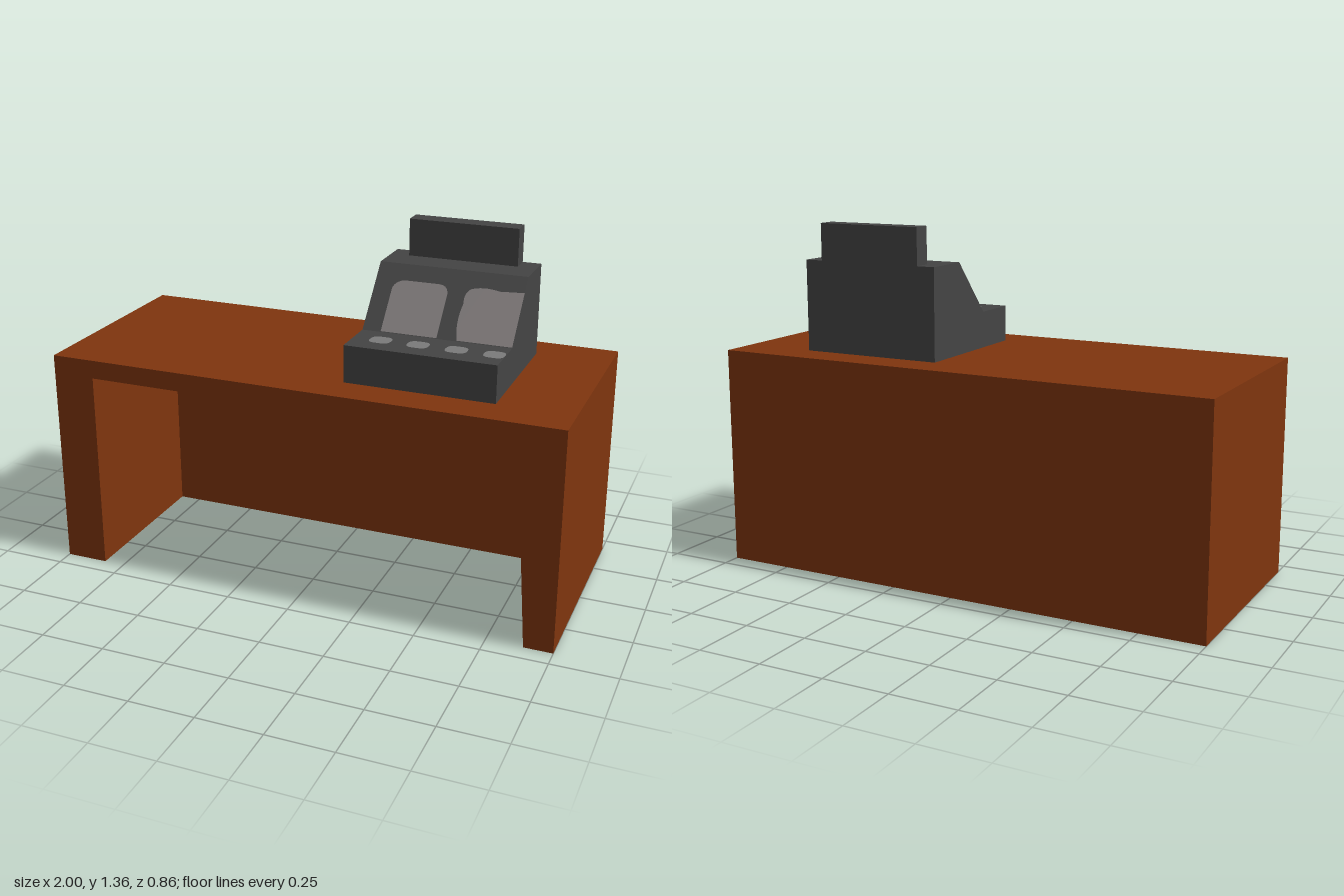
import * as THREE from 'three';

const wood = new THREE.MeshStandardMaterial({ color: 0x7f350e, side: THREE.DoubleSide });
wood.name = 'brown wood';
const pink = new THREE.MeshStandardMaterial({ color: 0xd08080, side: THREE.DoubleSide });
pink.name = 'pink lining';
const casing = new THREE.MeshStandardMaterial({ color: 0x444444 });
casing.name = 'dark grey casing';
const glass = new THREE.MeshStandardMaterial({ color: 0x827d7d });
glass.name = 'light grey panel';
const keyGrey = new THREE.MeshStandardMaterial({ color: 0x7a7a7a });
keyGrey.name = 'grey button';

function add(parent, name, geometry, material) {
  const mesh = new THREE.Mesh(geometry, material);
  mesh.name = name;
  parent.add(mesh);
  return mesh;
}

// flat panel from three or four corners, counter-clockwise from its front
function panel(...corners) {
  const g = new THREE.BufferGeometry();
  g.setAttribute('position', new THREE.Float32BufferAttribute(corners.flat(), 3));
  g.setIndex(corners.length === 4 ? [0, 1, 2, 0, 2, 3] : [0, 1, 2]);
  g.computeVertexNormals();
  return g;
}

const outline = (points) => new THREE.Shape(points.map(([x, y]) => new THREE.Vector2(x, y)));

function roundedRect(x0, y0, x1, y1, r) {
  const s = new THREE.Shape();
  s.moveTo(x0 + r, y0);
  s.lineTo(x1 - r, y0).quadraticCurveTo(x1, y0, x1, y0 + r);
  s.lineTo(x1, y1 - r).quadraticCurveTo(x1, y1, x1 - r, y1);
  s.lineTo(x0 + r, y1).quadraticCurveTo(x0, y1, x0, y1 - r);
  s.lineTo(x0, y0 + r).quadraticCurveTo(x0, y0, x0 + r, y0);
  return s;
}

function createDesk() {
  const desk = new THREE.Group();
  desk.name = 'desk';
  const W = 1, H = 0.857, D = 0.428;            // outer half width, height, half depth
  const L = -0.833, R = 0.833, F = 0.89;        // knee space sides; F is the splayed foot
  const C = 0.785, B = -0.225;                  // knee space ceiling and back

  // outer shell, open underneath
  add(desk, 'deskTop', panel([-W, H, D], [W, H, D], [W, H, -D], [-W, H, -D]), wood);
  add(desk, 'deskBack', panel([W, 0, -D], [-W, 0, -D], [-W, H, -D], [W, H, -D]), wood);
  add(desk, 'leftSide', panel([W, 0, D], [W, 0, -D], [W, H, -D], [W, H, D]), wood);
  add(desk, 'rightSide', panel([-W, 0, -D], [-W, 0, D], [-W, H, D], [-W, H, -D]), wood);
  const frame = outline([[-W, 0], [L, 0], [L, C], [R, C], [F, 0], [W, 0], [W, H], [-W, H]]);
  add(desk, 'frontFrame', new THREE.ShapeGeometry(frame), wood).position.z = D;

  // knee space
  add(desk, 'kneeSpaceBack', panel([L, 0, B], [F, 0, B], [R, C, B], [L, C, B]), wood);
  add(desk, 'kneeSpaceCeiling', panel([L, C, B], [R, C, B], [R, C, D], [L, C, D]), wood);
  add(desk, 'kneeSpaceRightWall', panel([L, 0, D], [L, 0, B], [L, C, B], [L, C, D]), wood);
  add(desk, 'kneeSpaceLeftWall', panel([F, 0, B], [F, 0, D], [R, C, D], [R, C, B]), pink);

  // partial sole under the right leg
  add(desk, 'rightLegSole', panel([-W, 0, D], [-W, 0, -D], [L, 0, D]), wood);
  return desk;
}

function createRegister() {
  const register = new THREE.Group();
  register.name = 'cashRegister';
  const x0 = 0.14, x1 = 0.712, base = 0.857;

  // stepped body, its side profile swept across x
  const profile = outline([[-0.286, base], [0.286, base], [0.286, 1.214],
    [0.095, 1.214], [-0.095, 1], [-0.286, 1]]);
  const body = new THREE.ExtrudeGeometry(profile, { depth: x1 - x0, bevelEnabled: false });
  body.rotateY(Math.PI / 2);
  add(register, 'registerBody', body, casing).position.x = x0;

  // display standing on the rear edge
  add(register, 'rearDisplay', new THREE.BoxGeometry(0.428, 0.144, 0.072), casing)
    .position.set(0.426, 1.286, -0.25);

  // light panels lying on the slope
  const slope = new THREE.Group();
  slope.name = 'slopedPanels';
  slope.position.set(0, 1.0015, 0.0965);
  slope.rotation.x = -Math.atan2(0.19, 0.214);
  register.add(slope);

  const first = new THREE.Shape();
  first.moveTo(0.212, 0.002);
  first.lineTo(0.428, 0.002).lineTo(0.428, 0.18);
  first.quadraticCurveTo(0.424, 0.215, 0.39, 0.217);
  first.lineTo(0.25, 0.217).quadraticCurveTo(0.21, 0.205, 0.212, 0.17);
  add(slope, 'firstPanel', new THREE.ShapeGeometry(first), glass);

  const second = new THREE.Shape();
  second.moveTo(0.505, 0.002);
  second.lineTo(x1, 0.002).lineTo(x1, 0.219).lineTo(0.62, 0.214);
  second.quadraticCurveTo(0.56, 0.228, 0.515, 0.212);
  second.quadraticCurveTo(0.488, 0.195, 0.497, 0.15);
  second.quadraticCurveTo(0.482, 0.075, 0.505, 0.002);
  add(slope, 'secondPanel', new THREE.ShapeGeometry(second), glass);

  // row of buttons on the front ledge, the last one cut off by the edge
  [0.247, 0.39, 0.534, 0.676].forEach((x, i) => {
    const right = Math.min(x + 0.04, x1);
    const g = new THREE.ShapeGeometry(roundedRect(x - 0.041, -0.036, right, 0.036, 0.03), 6);
    g.rotateX(-Math.PI / 2);
    add(register, 'button' + (i + 1), g, keyGrey).position.set(0, 1.002, 0.187);
  });
  return register;
}

export function createModel() {
  const model = new THREE.Group();
  model.name = 'counterWithRegister';
  model.add(createDesk(), createRegister());
  return model;
}
